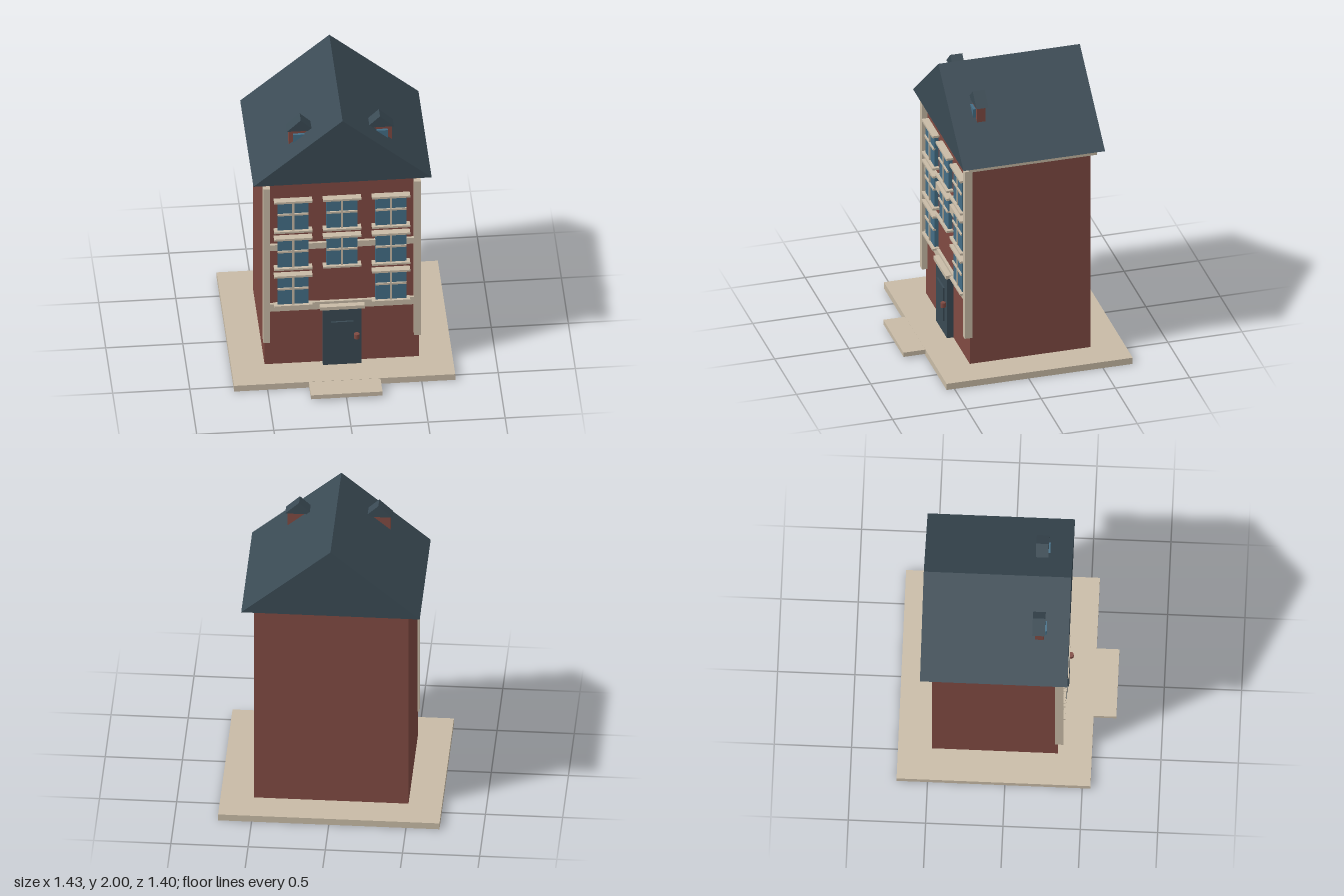
import * as THREE from 'three';

const mat = (name, color) => {
  const m = new THREE.MeshStandardMaterial({ color });
  m.name = name;
  return m;
};

export function createModel() {
  const brick = mat('brick', 0x804a42);
  const stone = mat('stone', 0xc8bba6);
  const slate = mat('slate', 0x3a4a54);
  const glass = mat('glass', 0x446e86);

  const house = new THREE.Group();
  house.name = 'townHouse';

  // Box given by its lower and upper limits on each axis
  const box = (name, m, x0, x1, y0, y1, z0, z1, parent = house) => {
    const mesh = new THREE.Mesh(new THREE.BoxGeometry(x1 - x0, y1 - y0, z1 - z0), m);
    mesh.position.set((x0 + x1) / 2, (y0 + y1) / 2, (z0 + z1) / 2);
    mesh.name = name;
    parent.add(mesh);
    return mesh;
  };

  // Solid gable roof with its ridge along z
  const gable = (name, cx, half, y0, y1, z0, z1, parent = house) => {
    const shape = new THREE.Shape();
    shape.moveTo(-half, 0);
    shape.lineTo(half, 0);
    shape.lineTo(0, y1 - y0);
    shape.closePath();
    const geo = new THREE.ExtrudeGeometry(shape, { depth: z1 - z0, bevelEnabled: false });
    const mesh = new THREE.Mesh(geo, slate);
    mesh.position.set(cx, y0, z0);
    mesh.name = name;
    parent.add(mesh);
  };

  // Ground slab and front step
  box('groundSlab', stone, -0.717, 0.717, 0, 0.045, -0.7, 0.553);
  box('frontStep', stone, -0.232, 0.232, 0.013, 0.044, 0.54, 0.7);

  // Walls, cornice and main roof
  box('walls', brick, -0.5, 0.5, 0.045, 1.486, -0.48, 0.333);
  box('cornice', stone, -0.56, 0.56, 1.485, 1.514, -0.505, 0.355);
  gable('mainRoof', 0, 0.578, 1.513, 2, -0.555, 0.398);

  // Corner pilasters and floor bands
  for (const s of [-1, 1]) {
    const x = s * 0.489;
    box('pilaster', stone, x - 0.022, x + 0.022, 0.24, 1.465, 0.317, 0.37);
  }
  box('lowerBand', stone, -0.468, 0.468, 0.475, 0.532, 0.32, 0.352);
  box('upperBand', stone, -0.468, 0.468, 0.959, 1.004, 0.32, 0.352);

  // Windows: glass block, glazing bars, lintel and sill
  const addWindow = (x, top) => {
    const w = new THREE.Group();
    w.name = 'window';
    w.position.set(x, top, 0);
    box('pane', glass, -0.1, 0.1, -0.238, 0, 0.32, 0.36, w);
    box('uprightBar', stone, -0.007, 0.007, -0.236, 0, 0.35, 0.368, w);
    box('crossBar', stone, -0.1, 0.1, -0.111, -0.097, 0.35, 0.369, w);
    box('lintel', stone, -0.124, 0.124, -0.007, 0.008, 0.325, 0.38, w);
    box('sill', stone, -0.124, 0.124, -0.243, -0.229, 0.325, 0.38, w);
    house.add(w);
  };
  [0.764, 1.06, 1.355].forEach((top, row) => {
    for (const x of [-0.317, 0, 0.317]) if (row > 0 || x !== 0) addWindow(x, top);
  });

  // Door with raised panel, lintel and knob
  box('door', slate, -0.125, 0.125, 0.045, 0.489, 0.33, 0.376);
  box('doorPanel', slate, -0.073, 0.073, 0.145, 0.389, 0.37, 0.388);
  box('doorLintel', stone, -0.145, 0.145, 0.489, 0.514, 0.33, 0.389);
  const knob = new THREE.Mesh(new THREE.CylinderGeometry(0.018, 0.018, 0.033, 12), brick);
  knob.position.set(0.092, 0.277, 0.393);
  knob.name = 'doorKnob';
  house.add(knob);

  // Dormers set into both roof slopes
  for (const s of [-1, 1]) {
    const d = new THREE.Group();
    d.name = 'dormer';
    d.position.x = s * 0.257;
    box('dormerWalls', brick, -0.077, 0.077, 1.68, 1.824, 0.18, 0.235, d);
    box('dormerWindow', glass, -0.05, 0.05, 1.7, 1.803, 0.225, 0.253, d);
    gable('dormerRoof', 0, 0.09, 1.823, 1.908, 0.161, 0.242, d);
    house.add(d);
  }

  return house;
}
